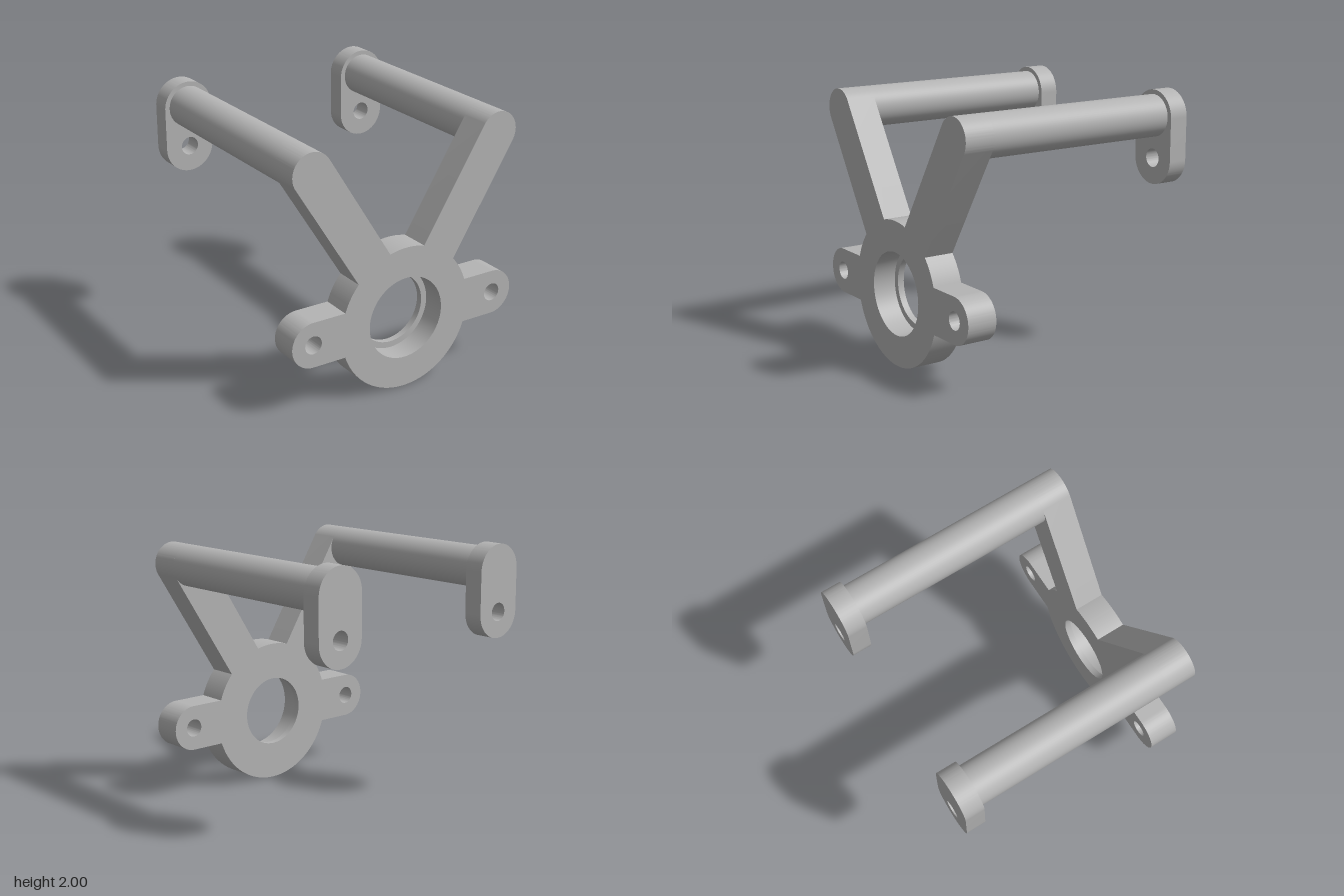
import * as THREE from 'three';
import { toCreasedNormals } from 'three/addons/utils/BufferGeometryUtils.js';

const HUB_Y = 0.552, HUB_R = 0.55;   // ring centre height and outer radius
const ARM_X = 0.785, ARM_Y = 1.81, ARM_R = 0.156;
const LUG_R = 0.173;
const FRONT = 0.95, PLATE_BACK = 0.72, PAD_FRONT = -0.8, BACK = -0.95;

function hole(x, y, r) {
  const path = new THREE.Path();
  path.absarc(x, y, r, 0, Math.PI * 2, true);
  return path;
}

// Extrude a shape between two z planes, smooth on curves and sharp on edges
function slab(shape, z0, z1) {
  const geo = new THREE.ExtrudeGeometry(shape, { depth: z1 - z0, bevelEnabled: false, curveSegments: 32 });
  geo.translate(0, 0, z0);
  return toCreasedNormals(geo, 0.5);
}

// Ring with round-ended spokes, traced counter-clockwise
function plateShape() {
  const dx = ARM_X, dy = ARM_Y - HUB_Y;
  const armAngle = Math.atan2(dy, dx), armLength = Math.hypot(dx, dy);
  const spokes = [
    { a: 0, length: 0.785, r: LUG_R },
    { a: armAngle, length: armLength, r: ARM_R },
    { a: Math.PI - armAngle, length: armLength, r: ARM_R },
    { a: Math.PI, length: 0.785, r: LUG_R },
  ];
  const shape = new THREE.Shape();
  spokes.forEach((s, i) => {
    const cx = Math.cos(s.a) * s.length, cy = HUB_Y + Math.sin(s.a) * s.length;
    shape.absarc(cx, cy, s.r, s.a - Math.PI / 2, s.a + Math.PI / 2, false);
    const next = spokes[(i + 1) % spokes.length];
    const nextAngle = next.a + (i === spokes.length - 1 ? Math.PI * 2 : 0);
    shape.absarc(0, HUB_Y, HUB_R, s.a + Math.asin(s.r / HUB_R), nextAngle - Math.asin(next.r / HUB_R), false);
  });
  shape.closePath();
  shape.holes.push(hole(0, HUB_Y, 0.315), hole(0.785, HUB_Y, 0.068), hole(-0.785, HUB_Y, 0.068));
  return shape;
}

// Upright oval foot with a bolt hole near its lower end
function padShape(x) {
  const shape = new THREE.Shape();
  shape.absarc(x, 1.807, 0.193, 0, Math.PI, false);
  shape.absarc(x, 1.49, 0.193, Math.PI, Math.PI * 2, false);
  shape.closePath();
  shape.holes.push(hole(x, 1.493, 0.069));
  return shape;
}

export function createModel() {
  const group = new THREE.Group();
  const grey = new THREE.MeshStandardMaterial({ color: 0xb4b4b4 });
  grey.name = 'grey metal';
  const add = (name, geo) => {
    const mesh = new THREE.Mesh(geo, grey);
    mesh.name = name;
    group.add(mesh);
    return mesh;
  };

  // Front plate: ring, side lugs and slanted arms
  add('frontPlate', slab(plateShape(), PLATE_BACK, FRONT));

  // Thin lip at the back of the bore
  const lip = new THREE.Shape();
  lip.absarc(0, HUB_Y, 0.317, 0, Math.PI * 2, false);
  lip.holes.push(hole(0, HUB_Y, 0.268));
  add('boreLip', slab(lip, PLATE_BACK, PLATE_BACK + 0.05));

  // Rods running back to the mounting pads
  for (const [side, x] of [['left', ARM_X], ['right', -ARM_X]]) {
    const length = PLATE_BACK - PAD_FRONT;
    const rod = new THREE.CylinderGeometry(ARM_R, ARM_R, length, 64, 1, true);
    rod.rotateX(Math.PI / 2);
    add(side + 'Rod', rod).position.set(x, ARM_Y, (PLATE_BACK + PAD_FRONT) / 2);
    add(side + 'MountingPad', slab(padShape(x), BACK, PAD_FRONT));
  }
  return group;
}
